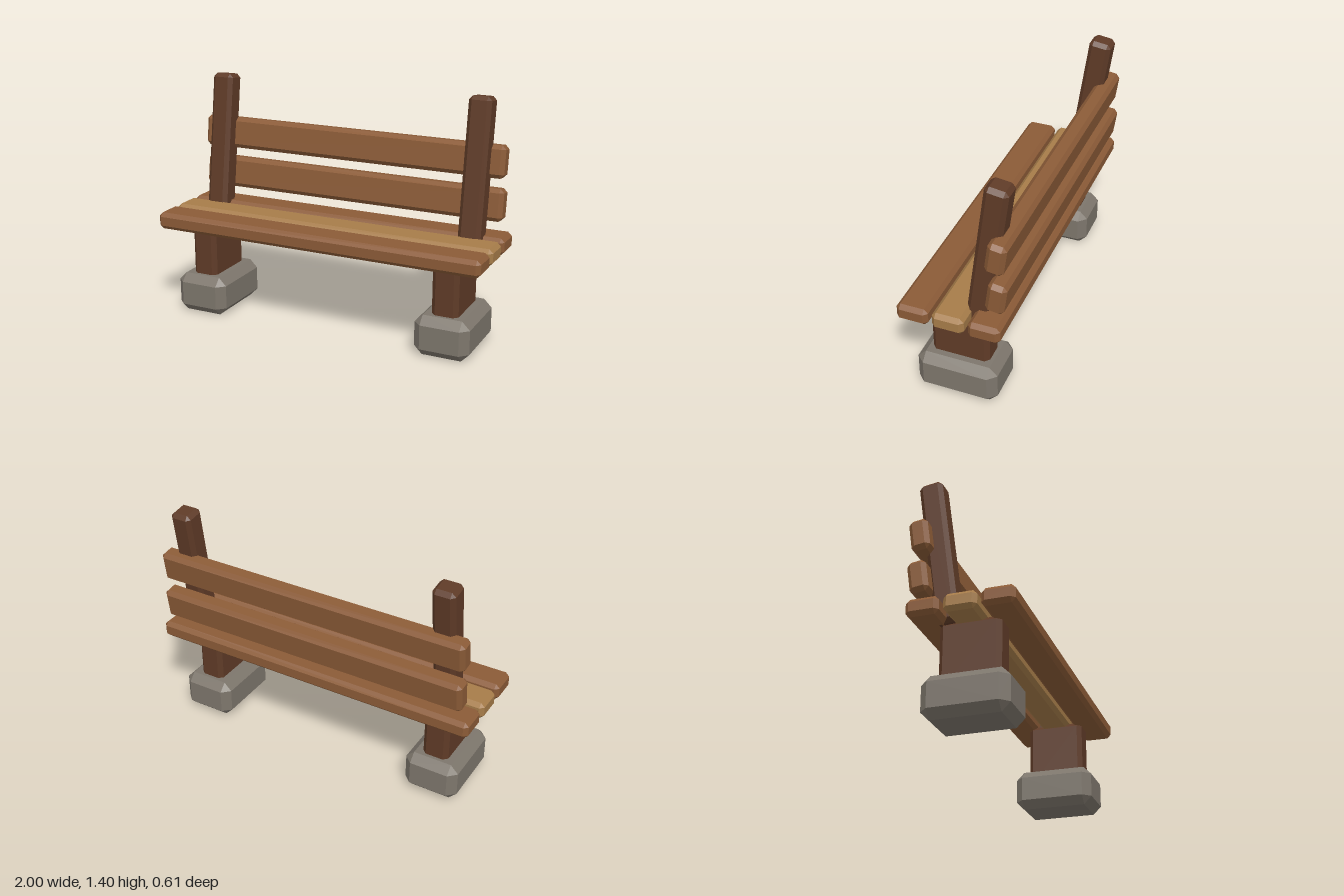
import * as THREE from 'three';
import { ConvexGeometry } from 'three/addons/geometries/ConvexGeometry.js';

const paint = (color) => new THREE.MeshStandardMaterial({ color, flatShading: true });

// Box with every edge and corner cut flat by c
function chamferBox(w, h, d, c) {
  const points = [];
  for (const sx of [-1, 1]) for (const sy of [-1, 1]) for (const sz of [-1, 1]) {
    const x = w / 2, y = h / 2, z = d / 2;
    points.push(
      new THREE.Vector3(sx * x, sy * (y - c), sz * (z - c)),
      new THREE.Vector3(sx * (x - c), sy * y, sz * (z - c)),
      new THREE.Vector3(sx * (x - c), sy * (y - c), sz * z));
  }
  return new ConvexGeometry(points);
}

export function createModel() {
  const bench = new THREE.Group();
  bench.name = 'bench';

  const wood = paint(0x8b5b37);
  const lightWood = paint(0xa67c49);
  const darkWood = paint(0x5f3b27);
  const stone = paint(0x7d766c);
  const lean = THREE.MathUtils.degToRad(-8);

  function add(name, material, size, position, tilt = 0) {
    const mesh = new THREE.Mesh(chamferBox(...size), material);
    mesh.name = name;
    mesh.position.set(...position);
    mesh.rotation.x = tilt;
    bench.add(mesh);
  }

  // Stone feet, legs and leaning back posts on both sides
  for (const [side, s] of [['left', 1], ['right', -1]]) {
    add(side + 'Foot', stone, [0.322, 0.235, 0.467, 0.047], [s * 0.766, 0.1175, 0.015]);
    add(side + 'Leg', darkWood, [0.155, 0.4, 0.333, 0.025], [s * 0.766, 0.347, 0.015]);
    add(side + 'BackPost', darkWood, [0.132, 0.87, 0.132, 0.023], [s * 0.811, 0.96, -0.16], lean);
  }

  // Seat planks, the middle one lighter
  add('frontSeatPlank', wood, [2, 0.1, 0.18, 0.023], [0, 0.575, 0.215]);
  add('middleSeatPlank', lightWood, [2, 0.1, 0.18, 0.023], [0, 0.575, 0.014]);
  add('rearSeatPlank', wood, [2, 0.1, 0.18, 0.023], [0, 0.575, -0.188]);

  // Back slats fixed behind the posts
  add('lowerBackSlat', wood, [1.91, 0.185, 0.105, 0.023], [0, 0.78, -0.239], lean);
  add('upperBackSlat', wood, [1.91, 0.185, 0.105, 0.023], [0, 1.028, -0.239], lean);

  return bench;
}
